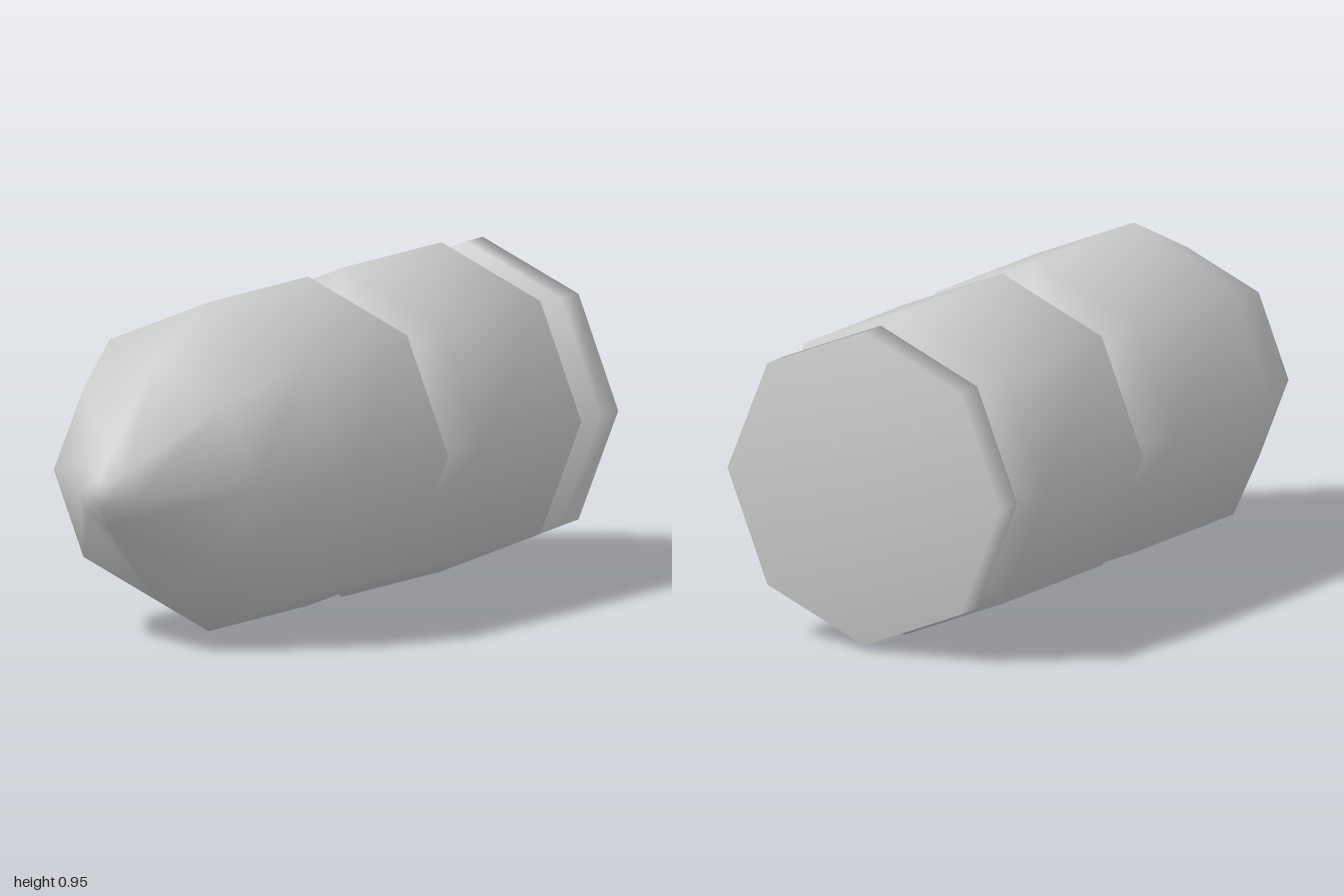
import * as THREE from 'three';

const SIDES = 8;
const RADIUS = 0.475;

// Smooth-shaded eight-sided turning about the z axis; profile is [radius, z] from back to front.
function turned(name, profile, material) {
  const points = profile.map(([r, z]) => new THREE.Vector2(r, z));
  const geometry = new THREE.LatheGeometry(points, SIDES);
  geometry.rotateX(Math.PI / 2);
  const mesh = new THREE.Mesh(geometry, material);
  mesh.name = name;
  mesh.position.y = RADIUS;
  return mesh;
}

export function createModel() {
  const group = new THREE.Group();
  group.name = 'bullet';
  const material = new THREE.MeshStandardMaterial({ color: 0xcccccc });

  // Closed base disc and the back half of the extraction groove
  group.add(turned('baseRim', [
    [0, -1], [0.46, -1], [0.46, -0.91], [0.315, -0.91], [0.315, -0.85],
  ], material));

  // Casing, from the extraction groove to the middle of the waist groove
  group.add(turned('casing', [
    [0.315, -0.85], [0.315, -0.785], [RADIUS, -0.785], [RADIUS, -0.267],
    [0.357, -0.233], [0.357, -0.178],
  ], material));

  // Head, tapering to a small blunt tip
  group.add(turned('head', [
    [0.357, -0.178], [0.357, -0.123], [RADIUS, -0.09], [RADIUS, 0.43],
    [0.343, 0.71], [0.1, 0.95], [0.038, 1], [0, 1],
  ], material));

  return group;
}
